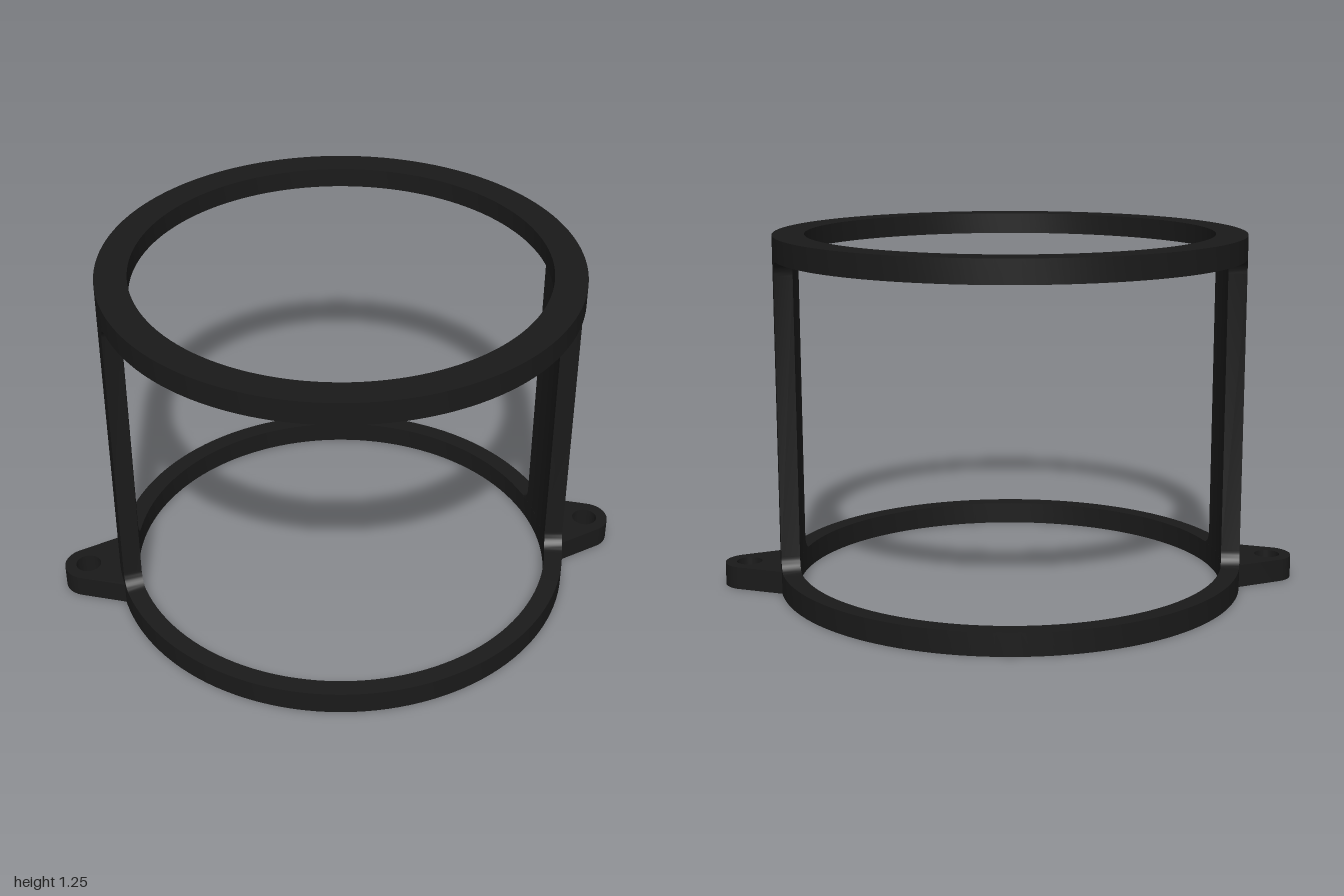
import * as THREE from 'three';
import { toCreasedNormals } from 'three/addons/utils/BufferGeometryUtils.js';

const OUTER = 0.82, BORE = 0.755, LIP = 0.71;      // radii
const RING = 0.08, UNDER = 1.175, TOP = 1.255;     // heights
const SIDE_ANGLE = THREE.MathUtils.degToRad(11.6); // posts and tabs sit off the x axis
const HALF = THREE.MathUtils.degToRad(9.9);        // half the angle a post spans
const FILLET = 0.055;

const material = new THREE.MeshStandardMaterial({ color: 0x1a1a1a });

function part(name, geometry) {
  const mesh = new THREE.Mesh(toCreasedNormals(geometry, 0.5), material);
  mesh.name = name;
  return mesh;
}

// Ring turned from a closed profile of [radius, height] points
function ring(name, profile) {
  const points = [...profile, profile[0]].map(([r, y]) => new THREE.Vector2(r, y));
  return part(name, new THREE.LatheGeometry(points, 128));
}

// Curved post: a box bent round the bore, flaring into the rings with fillets
function post() {
  const steps = 10, rows = [];
  for (let i = 0; i <= steps; i++) rows.push(RING + FILLET * (1 - Math.cos((i / steps) * Math.PI / 2)));
  for (let i = steps; i >= 0; i--) rows.push(RING + UNDER - rows[i]);

  const geometry = new THREE.BoxGeometry(1, 1, 2, 1, rows.length - 1, 12);
  const p = geometry.attributes.position;
  for (let i = 0; i < p.count; i++) {
    const y = rows[Math.round((p.getY(i) + 0.5) * (rows.length - 1))];
    const gap = Math.min(y - RING, UNDER - y, FILLET);
    const inset = FILLET - gap;
    const flare = FILLET - Math.sqrt(Math.max(0, FILLET ** 2 - inset ** 2));
    const angle = p.getZ(i) * (HALF + flare / OUTER);
    const r = p.getX(i) > 0 ? OUTER : BORE;
    p.setXYZ(i, r * Math.cos(angle), y, r * Math.sin(angle));
  }
  return part('post', geometry);
}

// Tapered mounting tab with a rounded end and a screw hole
function tab() {
  const centre = 0.934, radius = 0.085, tangent = THREE.MathUtils.degToRad(68.6);
  const shape = new THREE.Shape();
  shape.moveTo(0.78, 0.134);
  shape.lineTo(0.78, -0.134);
  shape.lineTo(0.807, -0.141);
  shape.absarc(centre, 0, radius, -tangent, tangent, false);
  shape.lineTo(0.807, 0.141);
  shape.closePath();
  const hole = new THREE.Path();
  hole.absarc(centre, 0, 0.045, 0, Math.PI * 2, true);
  shape.holes.push(hole);
  const geometry = new THREE.ExtrudeGeometry(shape, { depth: RING, bevelEnabled: false, curveSegments: 24 });
  geometry.rotateX(-Math.PI / 2);
  return part('mountingTab', geometry);
}

export function createModel() {
  const model = new THREE.Group();
  model.name = 'ringBracket';

  model.add(ring('lowerRing', [[BORE, 0], [OUTER, 0], [OUTER, RING], [BORE, RING]]));

  // Upper ring has an inward lip above a shallow step
  const step = UNDER + 0.01;
  model.add(ring('upperRing', [
    [BORE, UNDER], [OUTER, UNDER], [OUTER, TOP], [LIP, TOP], [LIP, step], [BORE, step],
  ]));

  // Post and tab repeat on opposite sides
  ['left', 'right'].forEach((side, i) => {
    const support = new THREE.Group();
    support.name = side + 'Support';
    support.add(post(), tab());
    support.rotation.y = SIDE_ANGLE + i * Math.PI;
    model.add(support);
  });

  return model;
}
